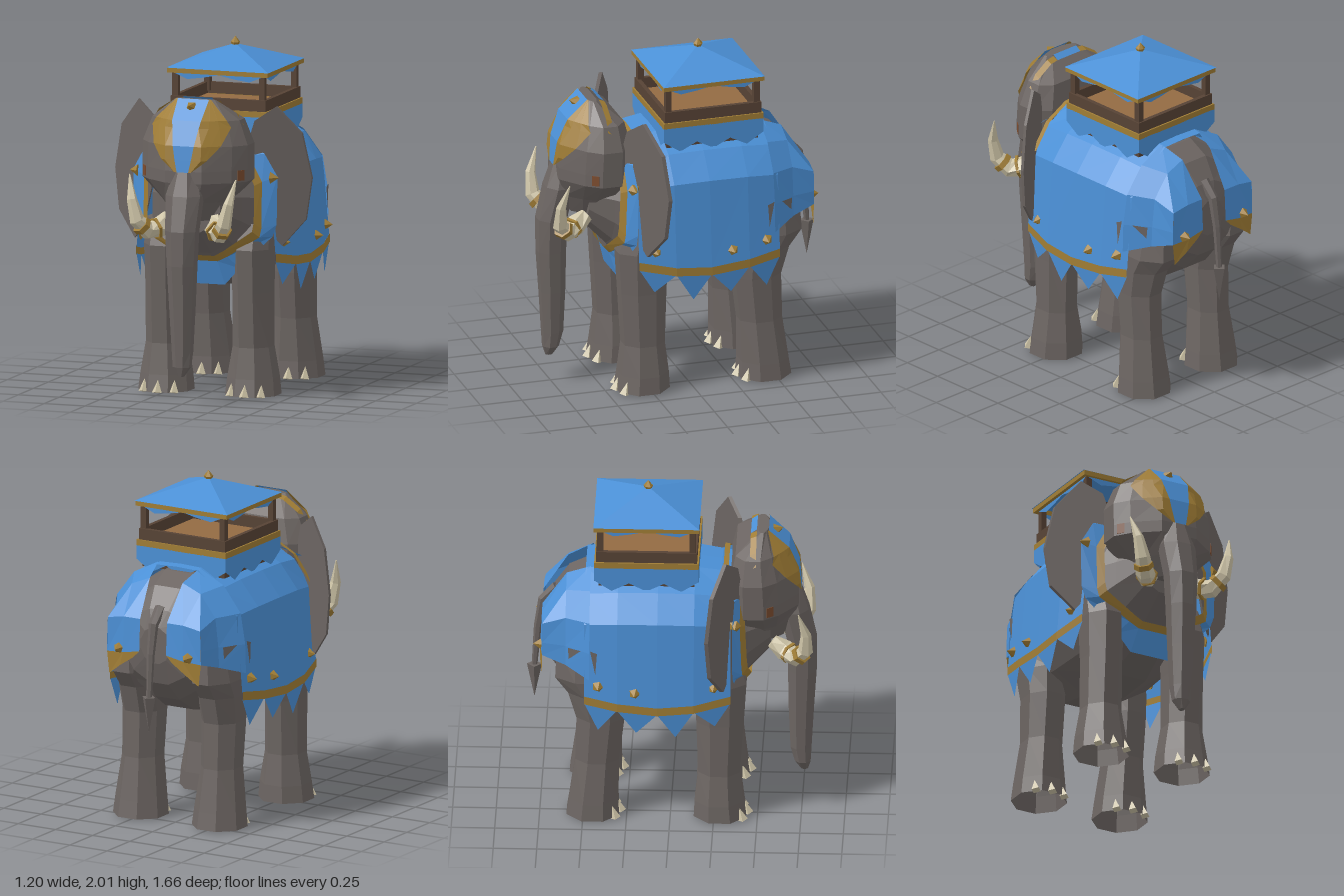
import * as THREE from 'three';

const mat = (name, color, side = THREE.DoubleSide) =>
  Object.assign(new THREE.MeshStandardMaterial({ color, side, flatShading: true }), { name });
const V = (x, y, z) => new THREE.Vector3(x, y, z);

export function createModel() {
  const model = new THREE.Group();
  model.name = 'warElephant';
  const skin = mat('greySkin', 0x6c6562), blue = mat('blueCloth', 0x4b90d6);
  const gold = mat('goldTrim', 0xa07d35), ivory = mat('ivory', 0xd0c6a9, THREE.FrontSide);
  const wood = mat('darkWood', 0x574335, THREE.FrontSide), plank = mat('plankFloor', 0x936b43, THREE.FrontSide);
  const eyeMat = mat('amberEye', 0x7c4c2f, THREE.FrontSide);

  const add = (name, geo, m, x = 0, y = 0, z = 0) => {
    const mesh = new THREE.Mesh(geo, m);
    mesh.name = name;
    mesh.position.set(x, y, z);
    model.add(mesh);
    return mesh;
  };
  const fromTriangles = (tris) => {
    const g = new THREE.BufferGeometry().setFromPoints(tris);
    g.computeVertexNormals();
    return g;
  };
  // solid through a list of rings, turned outwards; the first end may stay open
  const loft = (rings, openStart = false) => {
    const tris = [], n = rings[0].length;
    for (let i = 0; i + 1 < rings.length; i++) for (let j = 0; j < n; j++) {
      const k = (j + 1) % n, a = rings[i], b = rings[i + 1];
      tris.push(a[j], a[k], b[k], a[j], b[k], b[j]);
    }
    [rings[0], rings[rings.length - 1]].forEach((r, e) => {
      if (openStart && !e) return;
      const c = r.reduce((s, p) => s.add(p), V(0, 0, 0)).divideScalar(n);
      r.forEach((p, j) => { const q = r[(j + 1) % n]; e ? tris.push(c, p, q) : tris.push(c, q, p); });
    });
    let vol = 0;
    for (let i = 0; i < tris.length; i += 3) vol += tris[i].dot(tris[i + 1].clone().cross(tris[i + 2]));
    if (vol < 0) tris.reverse();
    return fromTriangles(tris);
  };
  // open cloth through rows of [x, y, z], mirrored by s
  const sheet = (rows, s = 1) => {
    const tris = [], p = rows.map((r) => r.map((q) => V(q[0] * s, q[1], q[2])));
    for (let i = 0; i + 1 < p.length; i++) for (let j = 0; j + 1 < p[i].length; j++) {
      tris.push(p[i][j], p[i][j + 1], p[i + 1][j + 1], p[i][j], p[i + 1][j + 1], p[i + 1][j]);
    }
    return fromTriangles(tris);
  };
  const circle = (n, f) => Array.from({ length: n }, (_, i) => {
    const a = ((i + 0.5) / n) * Math.PI * 2, k = 1 / Math.cos(Math.PI / n);
    return f(Math.cos(a) * k, Math.sin(a) * k);
  });
  // column of horizontal rings [y, z, rx, rz]
  const column = (x, rows, open) =>
    loft(rows.map(([y, z, rx, rz]) => circle(8, (c, s) => V(x + c * rx, y, z + s * rz))), open);
  // tapered tube through [x, y, z, r]
  const horn = (pts) => loft(pts.map(([x, y, z, r], i) => {
    const a = pts[Math.max(i - 1, 0)], b = pts[Math.min(i + 1, pts.length - 1)];
    const q = new THREE.Quaternion().setFromUnitVectors(V(0, 1, 0), V(b[0] - a[0], b[1] - a[1], b[2] - a[2]).normalize());
    return circle(6, (c, s) => V(c * r, 0, s * r).applyQuaternion(q).add(V(x, y, z)));
  }));
  const stud = (x, y, z, dir) => {
    const m = add('goldStud', new THREE.ConeGeometry(0.036, 0.05, 5), gold, x, y, z);
    m.quaternion.setFromUnitVectors(V(0, 1, 0), dir.normalize());
  };

  // body: rings along z as [z, top, bottom, half width]
  add('body', loft([
    [-0.72, 1.2, 0.98, 0.1], [-0.68, 1.3, 0.85, 0.24], [-0.59, 1.42, 0.74, 0.32], [-0.45, 1.48, 0.65, 0.38],
    [-0.2, 1.5, 0.595, 0.42], [0.15, 1.5, 0.595, 0.4], [0.34, 1.42, 0.68, 0.34], [0.44, 1.36, 0.82, 0.26], [0.57, 1.3, 0.96, 0.17],
  ].map(([z, t, b, w]) => circle(12, (c, s) => V(c * w * 0.97, (t + b) / 2 + s * (t - b) * 0.485, z)))), skin);

  // head: [y, back z, front z, half width]
  const headRows = [[1.04, 0.45, 0.64, 0.12], [1.15, 0.38, 0.69, 0.2], [1.27, 0.34, 0.73, 0.32], [1.34, 0.34, 0.73, 0.32],
    [1.48, 0.34, 0.715, 0.32], [1.62, 0.37, 0.66, 0.265], [1.73, 0.5, 0.56, 0.12]];
  add('head', loft(headRows.map(([y, zb, zf, w]) => {
    const d = zf - zb;
    const half = [[0.35 * w, zf], [0.8 * w, zf - 0.28 * d], [w, zf - 0.5 * d], [w, zb + 0.2 * d], [0.75 * w, zb]];
    return [...half, ...half.slice().reverse().map(([x, z]) => [-x, z])].map(([x, z]) => V(x, y, z));
  })), skin);

  // forehead cap following the head, rows of [y, blue half width, gold half width]
  const headZ = (x, y) => {
    const i = Math.max(1, headRows.findIndex((r) => r[0] >= y));
    const a = headRows[i - 1], b = headRows[i], t = (y - a[0]) / (b[0] - a[0]);
    const [, zb, zf, w] = a.map((v, k) => v + (b[k] - v) * t), u = Math.abs(x) / w;
    return zf - (zf - zb) * (u < 0.35 ? 0 : u < 0.8 ? ((u - 0.35) / 0.45) * 0.28 : 0.28 + (u - 0.8) * 1.1) + 0.015;
  };
  const capRows = [[1.73, 0.095, 0.105], [1.62, 0.088, 0.215], [1.58, 0.08, 0.24], [1.48, 0.064, 0.205], [1.4, 0.05, 0.14], [1.33, 0.035, 0.05]];
  const capPoint = (x, y) => [x, y + 0.006, headZ(x, y)];
  add('capStripe', sheet(capRows.map(([y, b]) => [-b, b].map((x) => capPoint(x, y)))), blue);
  for (const s of [1, -1]) {
    add('capSide', sheet(capRows.map(([y, b, g]) => [0, 0.33, 0.66, 1].map((t) => capPoint(b + (g - b) * t, y))), s), gold);
    add('crownBand', sheet([[0.455, 0.006], [0.49, 0.02]].map(([z, h]) => [[0.09, 1.708 + h, z], [0.14, 1.7 + h, z], [0.235, 1.64 + h, z], [0.28, 1.57 + h, z]]), s), gold);
  }
  add('crownBandCentre', sheet([[1.714, 0.455], [1.738, 0.49]].map(([y, z]) => [[-0.09, y, z], [0.09, y, z]])), blue);
  stud(0, 1.7, 0.615, V(0, 0.35, 1));

  // trunk and tail
  add('trunk', column(0, [[1.37, 0.67, 0.06, 0.06], [1.2, 0.7, 0.105, 0.085], [1.0, 0.745, 0.092, 0.085], [0.8, 0.748, 0.082, 0.082],
    [0.55, 0.742, 0.07, 0.072], [0.3, 0.74, 0.057, 0.06], [0.21, 0.75, 0.05, 0.045], [0.155, 0.76, 0.015, 0.02]]), skin);
  add('tail', horn([[0, 1.3, -0.66, 0.03], [0, 1.22, -0.74, 0.025], [0, 1.05, -0.77, 0.02], [0, 0.79, -0.79, 0.014]]), skin);
  add('tailTuft', new THREE.ConeGeometry(0.043, 0.21, 4), skin, 0, 0.695, -0.79).rotation.x = Math.PI;

  // blanket profile and its width along z
  const profile = [[0, 1.53], [0.15, 1.525], [0.32, 1.435], [0.44, 1.29], [0.482, 0]];
  const cuts = [[-0.49, 0.92, 0.82], [-0.3, 0.985, 0.79], [-0.07, 1.0, 0.77], [0.14, 0.98, 0.785], [0.35, 0.88, 0.825]];
  const tips = [[-0.41, 0.61], [-0.19, 0.605], [0.035, 0.58], [0.26, 0.64]];

  for (const s of [1, -1]) {
    // hollow-soled legs with toenails
    add('frontLeg', column(0.265 * s, [[0, 0.285, 0.15, 0.15], [0.1, 0.28, 0.14, 0.14], [0.28, 0.28, 0.11, 0.12], [0.6, 0.285, 0.108, 0.135], [0.85, 0.285, 0.115, 0.15], [1.0, 0.25, 0.11, 0.14]], true), skin);
    add('hindLeg', column(0.265 * s, [[0, -0.445, 0.15, 0.15], [0.1, -0.44, 0.14, 0.14], [0.35, -0.42, 0.11, 0.125], [0.62, -0.4, 0.115, 0.138], [0.78, -0.42, 0.125, 0.165], [0.88, -0.46, 0.13, 0.2], [1.08, -0.47, 0.09, 0.18]], true), skin);
    for (const z of [0.285, -0.445]) for (const a of [-0.62, 0, 0.62]) {
      const nail = add('toenail', new THREE.ConeGeometry(0.03, 0.075, 4), ivory, 0.265 * s + Math.sin(a) * 0.158, 0.036, z + Math.cos(a) * 0.152);
      nail.rotation.x = -0.25;
    }

    // ear: flat outline swept backwards
    const ear = [[0.27, 1.45], [0.31, 1.6], [0.42, 1.68], [0.55, 1.52], [0.6, 1.26], [0.57, 1.02], [0.45, 0.87], [0.38, 0.96], [0.32, 1.18]];
    add('ear', loft([0, -0.022].map((d) => ear.map(([x, y]) => V(x * s, y, 0.395 - (x - 0.3) * 0.56 + d)))), skin);
    add('eye', new THREE.BoxGeometry(0.008, 0.06, 0.045), eyeMat, 0.293 * s, 1.31, 0.57).rotation.y = -0.64 * s;

    // tusk with gold rings
    const tusk = [[0.15, 1.05, 0.58, 0.035], [0.165, 1.0, 0.65, 0.053], [0.22, 0.985, 0.72, 0.047], [0.265, 1.05, 0.775, 0.038], [0.295, 1.17, 0.778, 0.026], [0.325, 1.31, 0.735, 0.003]];
    add('tusk', horn(tusk.map(([x, y, z, r]) => [x * s, y, z, r])), ivory);
    add('tuskRing', horn([[0.237 * s, 1.005, 0.74, 0.051], [0.252 * s, 1.025, 0.758, 0.048]]), gold);
    add('tuskRing', horn([[0.18 * s, 0.996, 0.673, 0.057], [0.19 * s, 0.992, 0.685, 0.056]]), gold);

    // side blanket, gold hem and hanging points
    add('blanket', sheet(cuts.map(([z, k, hem]) => profile.map(([x, y]) => [x * k, y ? y - (1 - k) * 0.3 : hem, z])), s), blue);
    add('blanketHem', sheet(cuts.map(([z, k, hem]) => [[0.486 * k, hem + 0.005, z], [0.486 * k, hem - 0.045, z]]), s), gold);
    tips.forEach(([z, y], i) => {
      const a = cuts[i], b = cuts[i + 1], end = (c) => [c[1] * 0.482, c[2] - 0.04, c[0]];
      const tip = [0.241 * (a[1] + b[1]) - 0.015, y, z];
      add('blanketPoint', sheet([[end(a), end(b)], [tip, tip]], s), blue);
    });

    // collar: cloth wrapping the shoulders and chest, with a gold inner edge
    const outer = [[0, 1.51, 0.29], [0.14, 1.5, 0.29], [0.365, 1.41, 0.37], [0.44, 1.28, 0.36], [0.435, 1.0, 0.36], [0.41, 0.93, 0.36], [0.22, 0.74, 0.39], [0.13, 0.64, 0.39], [0, 0.64, 0.39]];
    const middle = [[0, 1.49, 0.35], [0.13, 1.48, 0.35], [0.28, 1.4, 0.4], [0.36, 1.25, 0.4], [0.36, 0.98, 0.41], [0.35, 0.93, 0.415], [0.16, 0.81, 0.43], [0.1, 0.78, 0.43], [0, 0.78, 0.43]];
    const inner = middle.map(([x, y, z], i) => [x * 0.9, y + (i < 4 ? -0.02 : 0.035), z + 0.03]);
    add('collarCloth', sheet([outer, middle], s), blue);
    add('collarTrim', sheet([middle, inner], s), gold);
    add('collarTopTrim', sheet([[0, 1.535, 0.3], [0, 1.53, 0.33]].map(([, y, z]) => [[0, y, z], [0.15, y - 0.01, z], [0.3, y - 0.09, z], [0.41, y - 0.24, z]]), s), gold);

    // rump flap with gold tip
    add('rumpCloth', sheet([
      [[0.14, 1.51, -0.46], [0.3, 1.43, -0.46], [0.415, 1.28, -0.46], [0.445, 1.1, -0.46], [0.45, 0.93, -0.46]],
      [[0.11, 1.45, -0.6], [0.23, 1.4, -0.6], [0.33, 1.27, -0.6], [0.35, 1.1, -0.6], [0.355, 0.98, -0.6]],
      [[0.09, 1.24, -0.74], [0.2, 1.24, -0.74], [0.31, 1.22, -0.735], [0.315, 1.1, -0.735], [0.315, 1.02, -0.735]],
    ], s), blue);
    add('rumpFlap', sheet([
      [[0.09, 1.24, -0.74], [0.2, 1.24, -0.74], [0.31, 1.22, -0.735]],
      [[0.09, 1.05, -0.75], [0.2, 1.03, -0.75], [0.315, 1.02, -0.735]],
    ], s), blue);
    add('rumpFlapTip', sheet([
      [[0.09, 1.05, -0.75], [0.2, 1.03, -0.75], [0.315, 1.02, -0.735]],
      [[0.13, 1.01, -0.75], [0.22, 0.95, -0.75], [0.3, 0.89, -0.735]],
    ], s), gold);
    // folds of hide showing through the cloth at the hip
    add('hipFold', sheet([[[0.452, 1.12, -0.455], [0.455, 1.105, -0.415]], [[0.456, 0.97, -0.425], [0.456, 0.97, -0.425]]], s), skin);
    add('hipFold', sheet([[[0.422, 1.105, -0.51], [0.373, 1.1, -0.585]], [[0.376, 1.03, -0.58], [0.376, 1.03, -0.58]]], s), skin);

    // studs
    for (const [x, y, z] of [[0.455, 0.885, 0.25], [0.49, 0.86, -0.2], [0.47, 0.89, -0.41], [0.43, 1.275, 0.375]]) stud(x * s, y, z, V(s, 0, 0));
    stud(0.23 * s, 1.05, -0.765, V(0, 0, -1));
  }

  // howdah
  const cz = -0.137;
  const box = (name, m, w, h, d, x, y, z) => add(name, new THREE.BoxGeometry(w, h, d), m, x, y, z + cz);
  box('howdahBase', wood, 0.55, 0.13, 0.55, 0, 1.52, 0);
  box('howdahFloor', plank, 0.56, 0.02, 0.56, 0, 1.6, 0);
  for (const s of [1, -1]) {
    box('sideTrim', gold, 0.02, 0.035, 0.6, 0.29 * s, 1.597, 0);
    box('endTrim', gold, 0.6, 0.035, 0.02, 0, 1.597, 0.29 * s);
    box('sideRail', wood, 0.025, 0.065, 0.58, 0.278 * s, 1.647, 0);
    box('endRail', wood, 0.58, 0.065, 0.025, 0, 1.647, 0.278 * s);
    for (const t of [1, -1]) box('post', wood, 0.035, 0.2, 0.035, 0.265 * s, 1.73, 0.265 * t);
    box('roofSideTrim', gold, 0.02, 0.028, 0.604, 0.297 * s, 1.829, 0);
    box('roofEndTrim', gold, 0.614, 0.028, 0.02, 0, 1.829, 0.292 * s);
  }
  // scalloped cloth on each of the four sides
  for (let k = 0; k < 4; k++) {
    const hang = (name, r, top, low) => {
      const at = (y) => low.map((v, i) => [(i / (low.length - 1) * 2 - 1) * r, y ?? v, r]);
      add(name, sheet([at(top), at()]), blue, 0, 0, cz).rotation.y = k * Math.PI / 2;
    };
    hang('howdahSkirt', 0.3, 1.582, [1.5, 1.435, 1.485, 1.435, 1.485, 1.435, 1.5]);
    hang('roofValance', 0.284, 1.825, [1.82, 1.78, 1.793, 1.812, 1.793, 1.78, 1.82]);
  }
  const roof = new THREE.ConeGeometry(Math.SQRT2, 0.115, 4, 1, true).rotateY(Math.PI / 4).scale(0.312, 1, 0.304);
  add('roof', roof, blue, 0, 1.9, cz);
  add('finialBase', new THREE.CylinderGeometry(0.028, 0.02, 0.02, 6), gold, 0, 1.957, cz);
  add('finial', new THREE.ConeGeometry(0.028, 0.035, 6), gold, 0, 1.9825, cz);
  return model;
}
